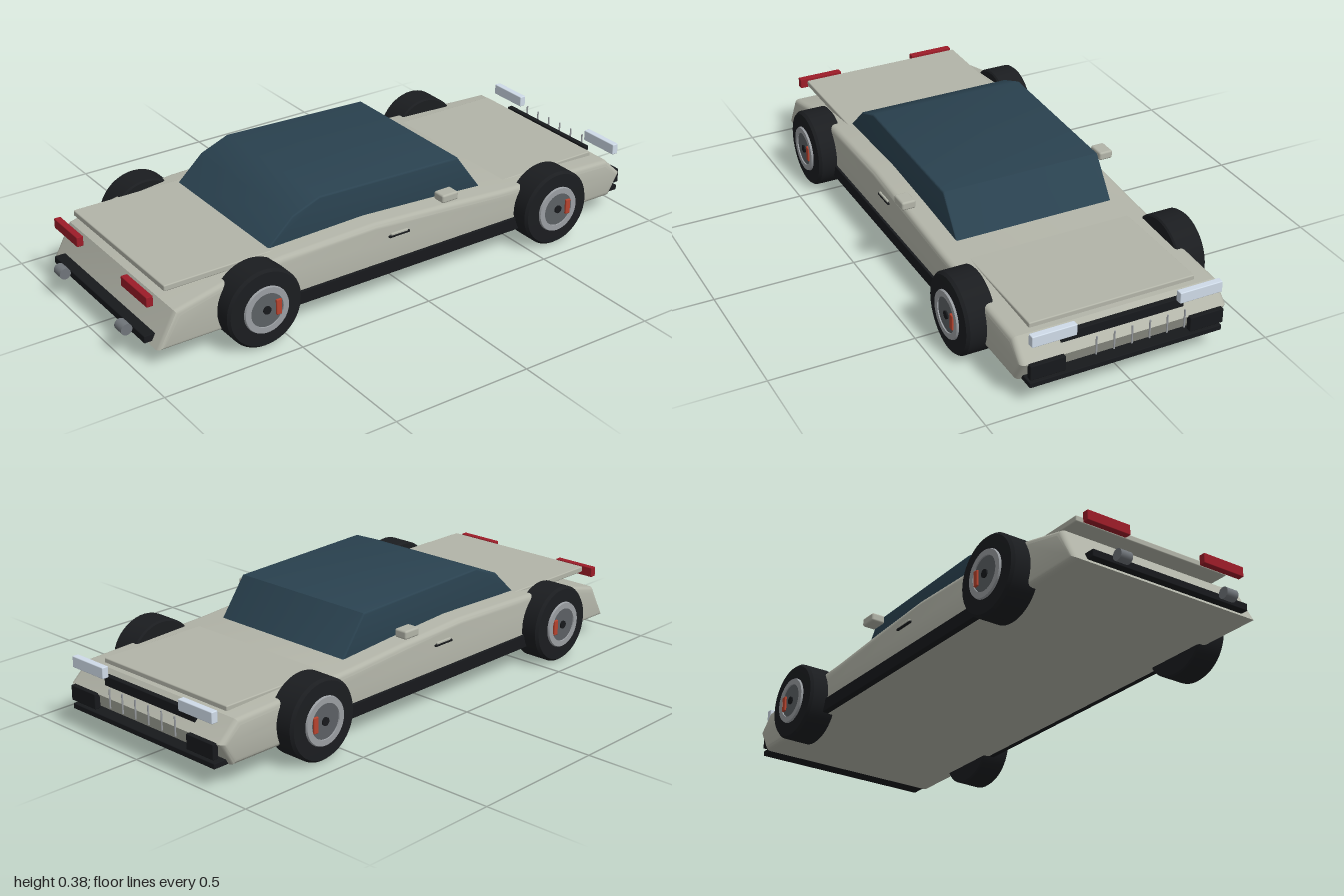
import * as THREE from 'three';
import { RoundedBoxGeometry } from 'three/addons/geometries/RoundedBoxGeometry.js';
import { toCreasedNormals } from 'three/addons/utils/BufferGeometryUtils.js';

const mat = (color) => new THREE.MeshStandardMaterial({ color });

export function createModel() {
  const car = new THREE.Group();
  car.name = 'car';
  const paint = mat(0xb2b4a8), glass = mat(0x2a4250), black = mat(0x17191c), tyreMat = mat(0x1b1d20);
  const metal = mat(0x9a9ea2), disc = mat(0x5c6064), red = mat(0x9c1c28), lamp = mat(0xcfdbe8);
  const orange = mat(0xb8432e), pipe = mat(0x70757a);

  const add = (name, geometry, material, x = 0, y = 0, z = 0, parent = car) => {
    const mesh = new THREE.Mesh(geometry, material);
    mesh.name = name;
    mesh.position.set(x, y, z);
    parent.add(mesh);
    return mesh;
  };

  // Box given by its limits on each axis, with softened edges
  const block = (name, material, [x0, x1], [y0, y1], [z0, z1], r = 0.003) =>
    add(name, new RoundedBoxGeometry(x1 - x0, y1 - y0, z1 - z0, 2, r), material,
      (x0 + x1) / 2, (y0 + y1) / 2, (z0 + z1) / 2);

  // The same box on both sides of the car
  const pair = (name, material, xs, ys, [z0, z1], r) => {
    block(name + 'Left', material, xs, ys, [z0, z1], r);
    block(name + 'Right', material, xs, ys, [-z1, -z0], r);
  };

  // Side profile extruded across the car, its outline kept by an inward bevel
  const across = (name, points, halfWidth, bevel, material) => {
    const shape = new THREE.Shape(points.map(([x, y]) => new THREE.Vector2(x, y)));
    const g = new THREE.ExtrudeGeometry(shape, {
      depth: 2 * (halfWidth - bevel), bevelEnabled: true, bevelSize: bevel,
      bevelThickness: bevel, bevelOffset: -bevel, bevelSegments: 4,
    });
    g.translate(0, 0, bevel - halfWidth);
    return add(name, toCreasedNormals(g, 0.5), material);
  };

  // Wedge body
  across('body', [
    [-0.94, 0.067], [0.92, 0.067], [0.968, 0.148], [0.9, 0.212], [0.4, 0.232],
    [0.15, 0.25], [-0.12, 0.265], [-0.48, 0.256], [-0.7, 0.232], [-0.875, 0.19],
  ], 0.366, 0.02, paint);

  // Glasshouse with fastback rear
  across('cabin', [
    [-0.5, 0.245], [0.38, 0.222], [0.275, 0.367], [-0.29, 0.384], [-0.395, 0.343],
  ], 0.288, 0.006, glass);

  // Hood and trunk lid slabs
  block('hood', paint, [0.36, 0.88], [0.206, 0.229], [-0.294, 0.294], 0.004);
  block('trunkLid', paint, [-0.88, -0.46], [0.235, 0.256], [-0.306, 0.306], 0.004);

  // Sills, door handles, mirrors
  pair('sill', black, [-0.52, 0.52], [0.068, 0.116], [0.34, 0.374]);
  pair('doorHandle', black, [-0.07, 0.015], [0.2, 0.208], [0.36, 0.373]);
  pair('doorHandleGrip', paint, [-0.062, 0.007], [0.206, 0.215], [0.36, 0.372]);
  pair('mirror', paint, [0.128, 0.194], [0.28, 0.31], [0.348, 0.398], 0.007);

  // Nose: grille, bars, lamps, bumper
  block('grille', black, [0.922, 0.942], [0.158, 0.206], [-0.218, 0.218]);
  for (let i = 0; i < 6; i++) {
    add('grilleBar', new THREE.CylinderGeometry(0.003, 0.003, 0.065, 10), metal, 0.995, 0.168, 0.125 - i * 0.0625);
  }
  pair('headlight', lamp, [0.952, 0.976], [0.211, 0.25], [0.181, 0.335]);
  pair('frontIntake', black, [0.96, 0.982], [0.098, 0.15], [0.22, 0.342]);
  block('frontBumper', black, [0.92, 0.978], [0.067, 0.086], [-0.341, 0.341]);

  // Tail: lamps, bumper, exhausts
  pair('tailLight', red, [-0.948, -0.924], [0.205, 0.241], [0.15, 0.316]);
  block('rearBumper', black, [-0.96, -0.92], [0.078, 0.104], [-0.31, 0.31]);
  for (const s of [-1, 1]) {
    add('exhaust', new THREE.CylinderGeometry(0.02, 0.02, 0.045, 24).rotateX(Math.PI / 2), pipe, -0.98, 0.098, s * 0.212);
  }

  // Wheels, modelled with the outer face toward +z
  const R = 0.1375;
  const tyreProfile = [
    [0, -0.052], [R - 0.006, -0.052], [R, -0.047], [R, 0.042], [R - 0.008, 0.052], [0.085, 0.054], [0, 0.054],
  ].map(([r, y]) => new THREE.Vector2(r, y));
  const tyreGeo = toCreasedNormals(new THREE.LatheGeometry(tyreProfile, 48).rotateX(Math.PI / 2), 0.5);
  const cyl = (r, h) => new THREE.CylinderGeometry(r, r, h, 40).rotateX(Math.PI / 2);
  const ringProfile = [[0.058, 0.05], [0.06, 0.061], [0.08, 0.061], [0.084, 0.05]]
    .map(([r, y]) => new THREE.Vector2(r, y));
  const ringGeo = toCreasedNormals(new THREE.LatheGeometry(ringProfile, 48).rotateX(Math.PI / 2), 0.5);
  const ringMat = mat(0x9a9ea2);
  ringMat.side = THREE.DoubleSide;

  for (const x of [-0.592, 0.606]) {
    for (const s of [-1, 1]) {
      const wheel = new THREE.Group();
      wheel.name = (x > 0 ? 'front' : 'rear') + 'Wheel' + (s > 0 ? 'Right' : 'Left');
      wheel.position.set(x, R, s * 0.381);
      if (s < 0) wheel.rotation.y = Math.PI;
      add('tyre', tyreGeo, tyreMat, 0, 0, 0, wheel);
      add('rimRing', ringGeo, ringMat, 0, 0, 0, wheel);
      add('brakeDisc', cyl(0.06, 0.01), disc, 0, 0, 0.052, wheel);
      add('hub', cyl(0.014, 0.014), black, 0, 0, 0.055, wheel);
      add('caliper', new RoundedBoxGeometry(0.02, 0.055, 0.014, 2, 0.003), orange, s * 0.043, 0, 0.057, wheel);
      car.add(wheel);
    }
  }
  return car;
}
